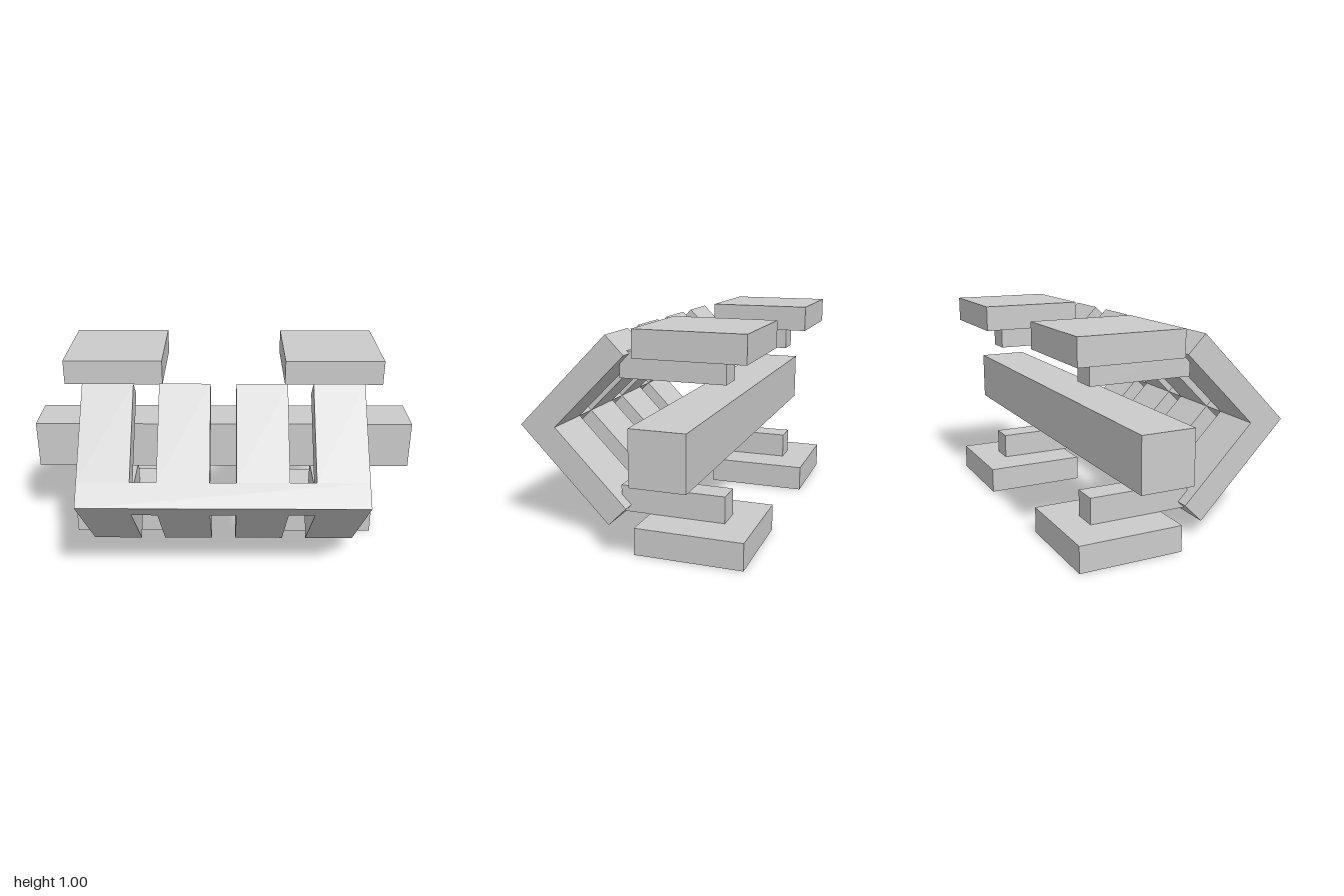
import * as THREE from 'three';

export function createModel() {
  const model = new THREE.Group();
  const material = new THREE.MeshStandardMaterial({ color: 0xcccccc, flatShading: true });

  const box = (parent, name, size, position) => {
    const mesh = new THREE.Mesh(new THREE.BoxGeometry(...size), material);
    mesh.name = name;
    mesh.position.set(...position);
    parent.add(mesh);
    return mesh;
  };

  // Long rear crossbeam
  box(model, 'crossbeam', [2, 0.25, 0.25], [0, 0.502, -0.248]);

  // Four pads, each with a narrow arm reaching forward on its inner face
  for (const side of [-1, 1]) {
    for (const level of [-1, 1]) {
      const corner = new THREE.Group();
      corner.name = (level > 0 ? 'upper' : 'lower') + (side > 0 ? 'Left' : 'Right') + 'Foot';
      box(corner, 'pad', [0.5, 0.125, 0.5], [side * 0.5625, 0.501 + level * 0.4385, -0.311]);
      box(corner, 'arm', [0.125, 0.125, 0.5], [side * 0.5625, 0.501 + level * 0.3135, -0.17]);
      model.add(corner);
    }
  }

  // Front claw: diamond-set bar with two combs of tines at right angles
  const claw = new THREE.Group();
  claw.name = 'frontClaw';
  claw.position.set(0, 0.511, 0.474);
  claw.rotation.x = Math.PI / 4;
  box(claw, 'clawBar', [1.375, 0.125, 0.125], [0, 0, 0]);
  for (const x of [-0.5625, -0.1875, 0.1875, 0.5625]) {
    box(claw, 'upperTine', [0.25, 0.125, 0.5], [x, 0, -0.3125]);
    box(claw, 'lowerTine', [0.25, 0.5, 0.125], [x, -0.3125, 0]);
  }
  model.add(claw);

  return model;
}
